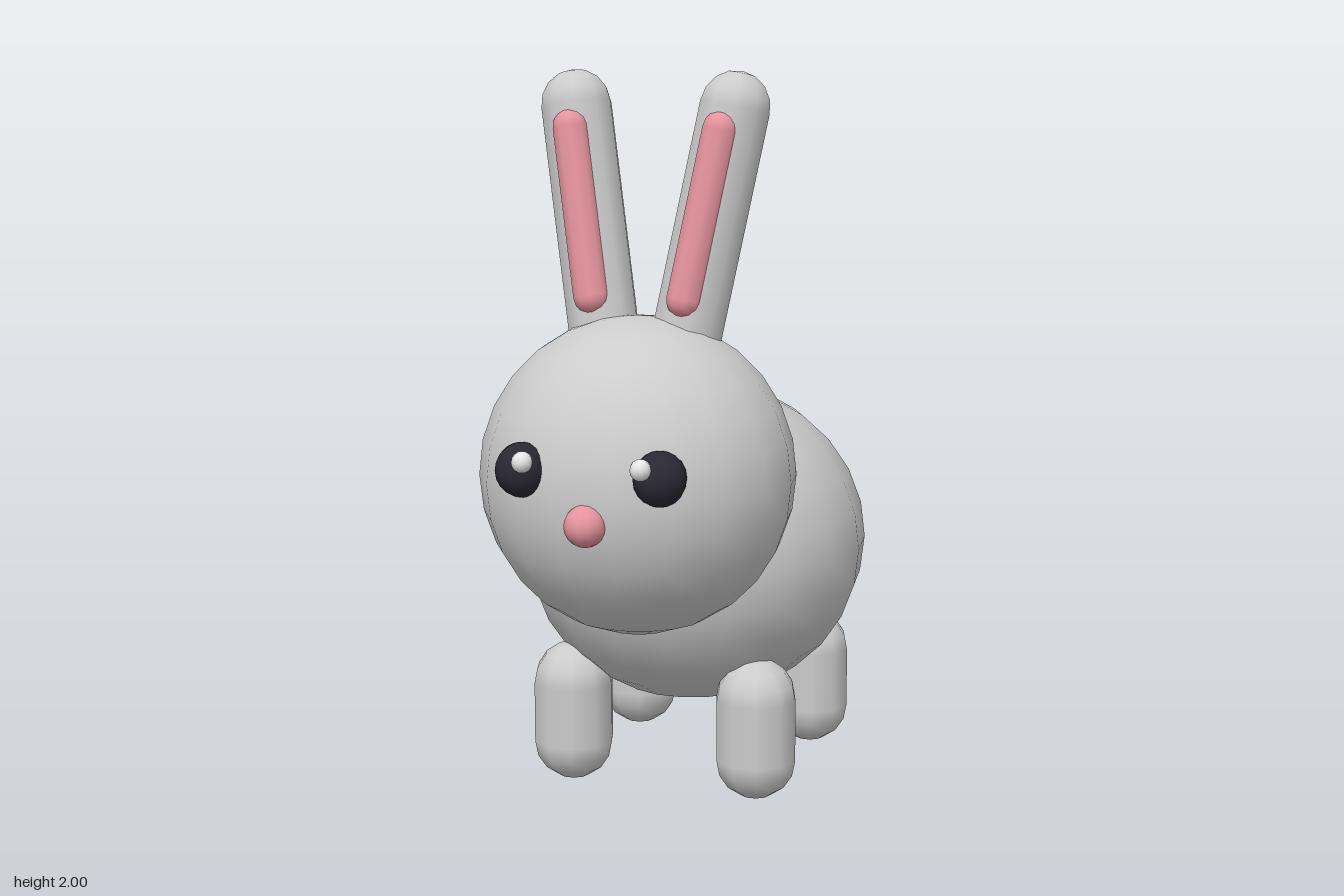
import * as THREE from 'three';

export function createModel() {
  const material = (name, color) => {
    const m = new THREE.MeshStandardMaterial({ color });
    m.name = name;
    return m;
  };
  const fur = material('grey fur', 0xcccccc);
  const pink = material('pink skin', 0xe8959f);
  const dark = material('dark eye', 0x2a2833);
  const white = material('white glint', 0xf8f8f8);

  const model = new THREE.Group();
  model.name = 'rabbit';

  // ellipsoid with a radius along each axis
  function ball(name, mat, [x, y, z], [rx, ry, rz], around = 18, rows = 14) {
    const mesh = new THREE.Mesh(new THREE.SphereGeometry(1, around, rows), mat);
    mesh.name = name;
    mesh.position.set(x, y, z);
    mesh.scale.set(rx, ry, rz);
    model.add(mesh);
  }

  // round-ended rod between the centres of its two caps
  function rod(name, mat, from, to, radius) {
    const a = new THREE.Vector3(...from), b = new THREE.Vector3(...to);
    const axis = b.clone().sub(a);
    const mesh = new THREE.Mesh(new THREE.CapsuleGeometry(radius, axis.length(), 4, 10), mat);
    mesh.name = name;
    mesh.position.copy(a).add(b).multiplyScalar(0.5);
    mesh.quaternion.setFromUnitVectors(new THREE.Vector3(0, 1, 0), axis.normalize());
    model.add(mesh);
  }

  // body, head, tail and nose
  ball('body', fur, [0, 0.66, -0.09], [0.485, 0.455, 0.523]);
  ball('head', fur, [0, 0.938, 0.39], [0.425, 0.427, 0.402]);
  ball('tail', fur, [0, 0.662, -0.665], [0.17, 0.168, 0.17]);
  ball('nose', pink, [0, 0.88, 0.778], [0.055, 0.055, 0.055], 12, 10);

  for (const [side, s] of [['left', 1], ['right', -1]]) {
    // ears lean outwards and back, with a pink strip sunk in the front
    rod(side + 'Ear', fur, [s * 0.106, 1.25, 0.338], [s * 0.222, 1.903, 0.25], 0.097);
    rod(side + 'InnerEar', pink, [s * 0.13, 1.41, 0.387], [s * 0.208, 1.85, 0.327], 0.05);

    // eyes
    ball(side + 'Eye', dark, [s * 0.186, 1.005, 0.74], [0.069, 0.071, 0.07], 12, 10);
    ball(side + 'EyeGlint', white, [s * 0.158, 1.038, 0.805], [0.028, 0.028, 0.028], 10, 8);

    // legs
    for (const [end, z] of [['Front', 0.188], ['Back', -0.36]]) {
      rod(side + end + 'Leg', fur, [s * 0.27, 0.117, z], [s * 0.27, 0.286, z], 0.114);
    }
  }
  return model;
}
